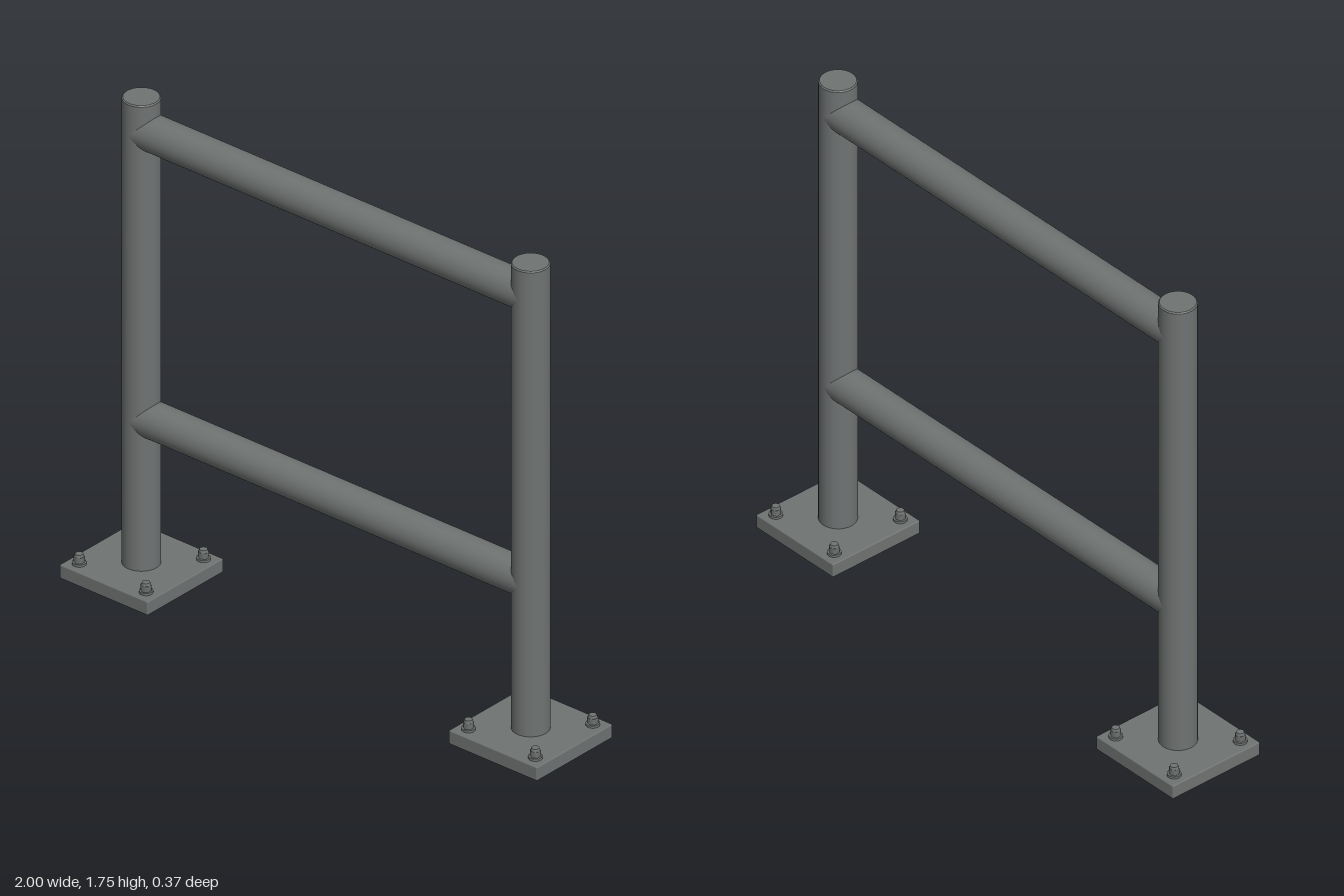
import * as THREE from 'three';
import { RoundedBoxGeometry } from 'three/addons/geometries/RoundedBoxGeometry.js';

const POST_X = 0.815, RADIUS = 0.063, PLATE = 0.37, PLATE_H = 0.05, BOLT = 0.14;

export function createModel() {
  const steel = new THREE.MeshStandardMaterial({ color: 0x6f7372 });
  steel.name = 'grey steel';
  const model = new THREE.Group();
  model.name = 'guardRail';

  const add = (parent, name, geometry, x, y, z) => {
    const mesh = new THREE.Mesh(geometry, steel);
    mesh.name = name;
    mesh.position.set(x, y, z);
    parent.add(mesh);
    return mesh;
  };

  // Post: round tube with a slightly eased, closed top
  const c = 0.004;
  const postGeo = new THREE.LatheGeometry([
    [RADIUS, 0.04], [RADIUS, 1.75 - c], [RADIUS, 1.75 - c],
    [RADIUS - c, 1.75], [RADIUS - c, 1.75], [0, 1.75],
  ].map(([r, y]) => new THREE.Vector2(r, y)), 48);

  const plateGeo = new RoundedBoxGeometry(PLATE, PLATE_H, PLATE, 2, 0.004);
  const washerGeo = new THREE.CylinderGeometry(0.023, 0.023, 0.008, 20);
  const nutGeo = new THREE.CylinderGeometry(0.018, 0.018, 0.022, 6);
  const tipGeo = new THREE.CylinderGeometry(0.013, 0.016, 0.01, 16);

  // Two posts, each on a bolted base plate
  for (const side of [-1, 1]) {
    const support = new THREE.Group();
    support.name = side > 0 ? 'leftSupport' : 'rightSupport';
    support.position.x = side * POST_X;
    model.add(support);
    add(support, 'post', postGeo, 0, 0, 0);
    add(support, 'basePlate', plateGeo, 0, PLATE_H / 2, 0);
    for (const bx of [-BOLT, BOLT]) {
      for (const bz of [-BOLT, BOLT]) {
        const bolt = new THREE.Group();
        bolt.name = 'anchorBolt';
        bolt.position.set(bx, PLATE_H, bz);
        support.add(bolt);
        add(bolt, 'washer', washerGeo, 0, 0.004, 0);
        add(bolt, 'nut', nutGeo, 0, 0.018, 0);
        add(bolt, 'boltTip', tipGeo, 0, 0.033, 0);
      }
    }
  }

  // Horizontal rails running into the posts
  const railGeo = new THREE.CylinderGeometry(RADIUS, RADIUS, POST_X * 2, 48, 1, true).rotateZ(Math.PI / 2);
  add(model, 'topRail', railGeo, 0, 1.634, 0);
  add(model, 'lowerRail', railGeo, 0, 0.586, 0);
  return model;
}
